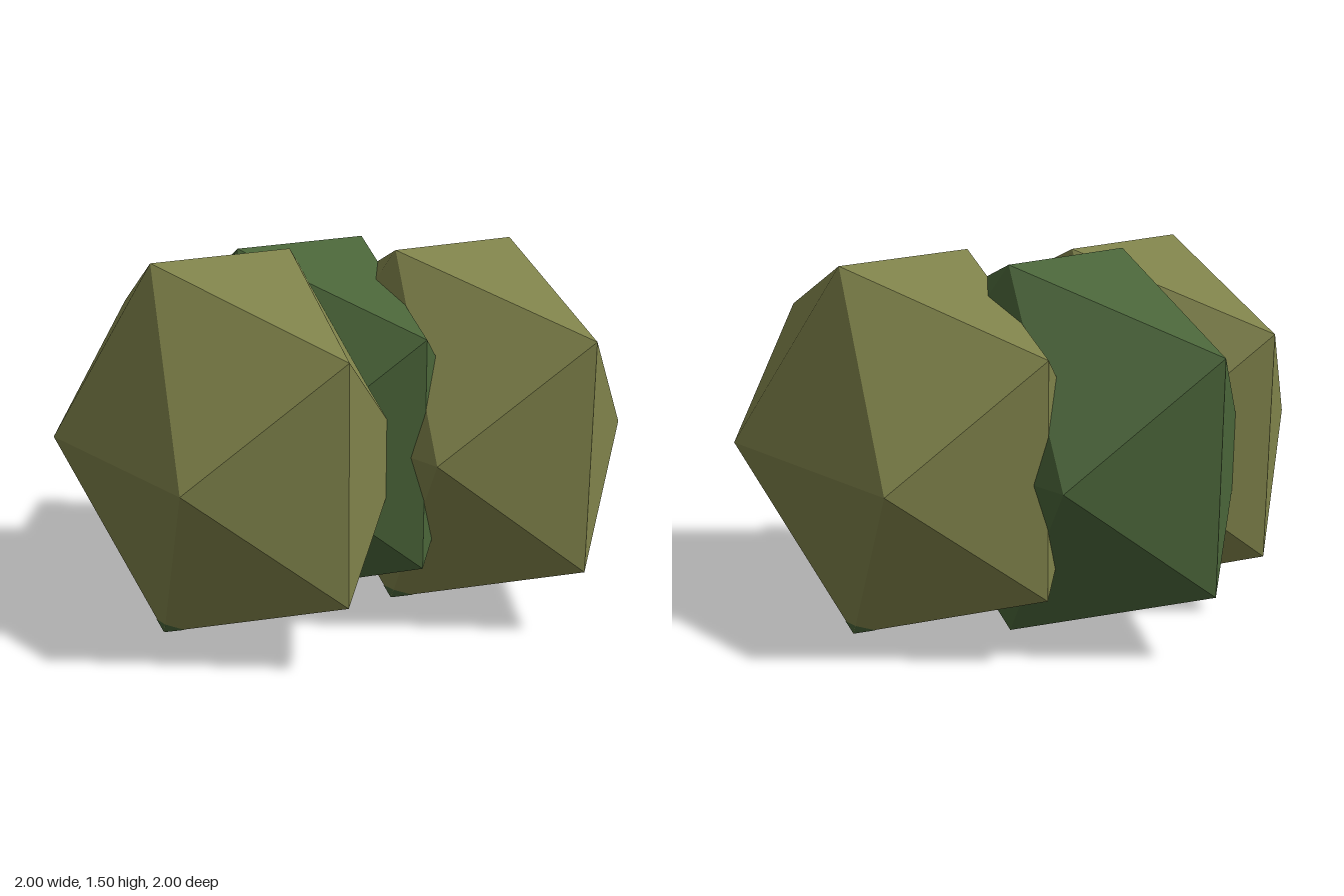
import * as THREE from 'three';

const HALF_HEIGHT = 0.75;

// stretched icosahedron standing on y = 0, with its long edges along x at top and bottom
function clumpGeometry() {
  const g = new THREE.IcosahedronGeometry(1, 0);
  g.scale(0.616, 0.8816, 0.925);
  g.translate(0, HALF_HEIGHT, 0);
  g.computeVertexNormals();
  return g;
}

// reads the three corners of a face
function corners(g, face) {
  return [0, 1, 2].map(k => new THREE.Vector3().fromBufferAttribute(g.attributes.position, face * 3 + k));
}
const isBottom = v => v.y < 0.01;

// gives the two faces under the clump the second material
function colourUnderside(g) {
  g.clearGroups();
  for (let f = 0; f < 20; f++) {
    const under = corners(g, f).filter(isBottom).length === 2;
    g.addGroup(f * 3, 3, under ? 1 : 0);
  }
}

// thin triangles that wrap the green underside around the lowest corners
function cornerTips(g) {
  const points = [];
  for (let f = 0; f < 20; f++) {
    const c = corners(g, f);
    if (c.filter(isBottom).length !== 1) continue;
    const tip = c.find(isBottom);
    const normal = new THREE.Triangle(...c).getNormal(new THREE.Vector3());
    for (const v of c) {
      const t = v === tip ? 0 : v.y < 0.5 ? 0.12 : 0.067;
      const p = tip.clone().lerp(v, t).addScaledVector(normal, 0.002);
      p.y = Math.max(p.y, 0);
      points.push(p);
    }
  }
  const tips = new THREE.BufferGeometry().setFromPoints(points);
  tips.computeVertexNormals();
  return tips;
}

export function createModel() {
  const model = new THREE.Group();
  model.name = 'bush';

  const olive = new THREE.MeshStandardMaterial({ color: 0x7f824a });
  olive.name = 'olive leaf';
  const green = new THREE.MeshStandardMaterial({ color: 0x4a6539 });
  green.name = 'dark green leaf';

  // green clump in the middle, at the back
  const middle = new THREE.Mesh(clumpGeometry(), green);
  middle.name = 'middleClump';
  middle.position.set(0, 0, -0.213);
  model.add(middle);

  // olive clumps on both sides, with green undersides
  for (const [name, x, z] of [['rightClump', -0.476, -0.091], ['leftClump', 0.476, 0.21]]) {
    const clump = new THREE.Group();
    clump.name = name;
    clump.position.set(x, 0, z);

    const g = clumpGeometry();
    colourUnderside(g);
    const leaves = new THREE.Mesh(g, [olive, green]);
    leaves.name = name + 'Leaves';

    const tips = new THREE.Mesh(cornerTips(g), green);
    tips.name = name + 'UndersideTips';

    clump.add(leaves, tips);
    model.add(clump);
  }
  return model;
}
